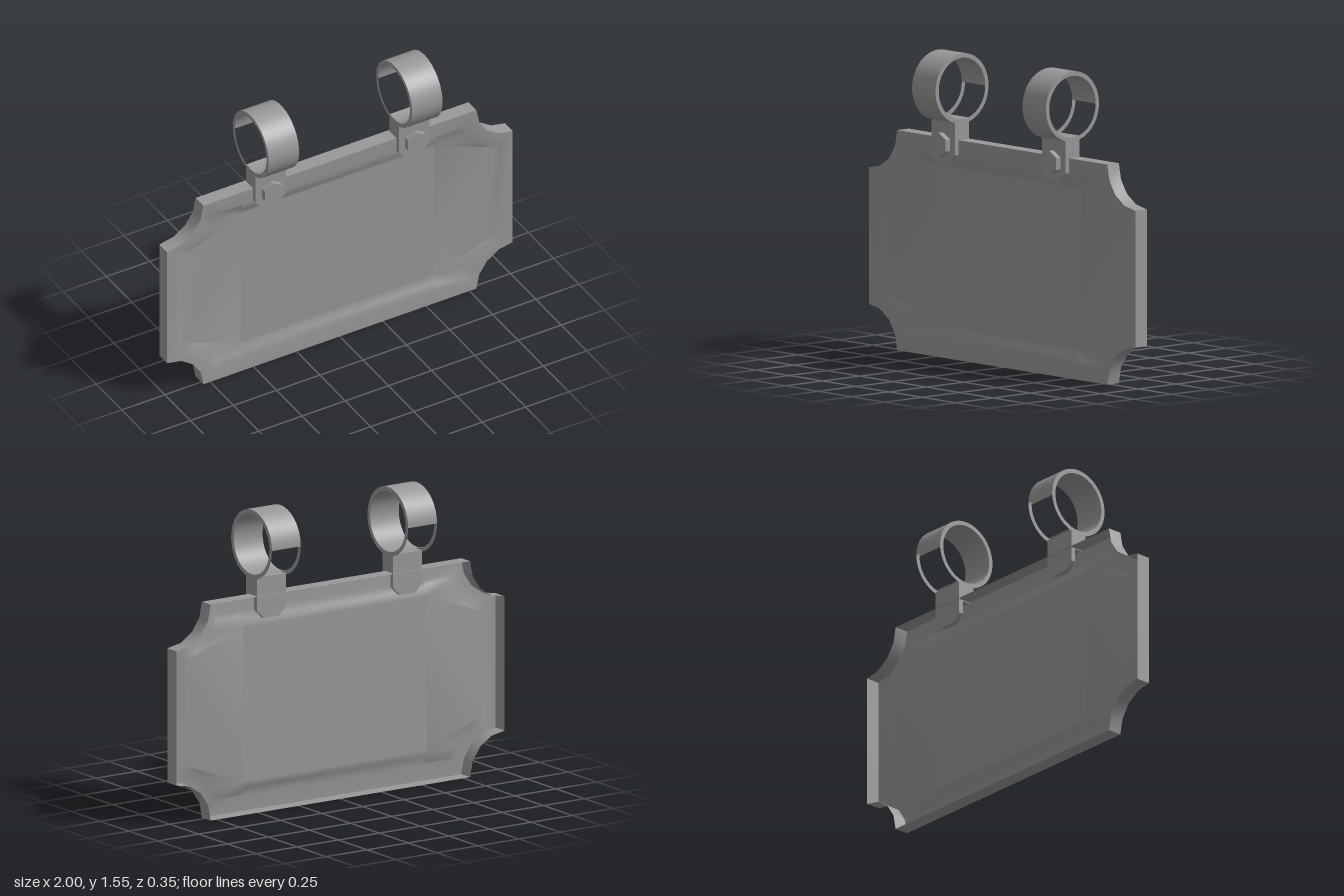
import * as THREE from 'three';
import { mergeVertices, toCreasedNormals } from 'three/addons/utils/BufferGeometryUtils.js';

const MID = 0.555; // half height of the plate
const mat = new THREE.MeshStandardMaterial({ color: 0x999999, side: THREE.DoubleSide });
const flatMat = mat.clone();
flatMat.flatShading = true;

function add(parent, name, geometry, material = flatMat) {
  const mesh = new THREE.Mesh(geometry, material);
  mesh.name = name;
  parent.add(mesh);
  return mesh;
}

// Mirror one quarter of an outline (from top middle to right middle) clockwise around the plate
function mirrorQuarter(quarter) {
  const points = [];
  for (const [sx, sy] of [[1, 1], [1, -1], [-1, -1], [-1, 1]]) {
    const q = sx * sy > 0 ? quarter : [...quarter].reverse();
    for (const [x, y, z] of q) points.push([sx * x, MID + sy * y, z]);
  }
  return points;
}

// Outline with scooped corners: r = scoop radius, X / Y = half extents.
// The middle point of the long edge may be given its own height and depth.
function outline(r, X, Y, z, middle = [0.56, Y, z]) {
  const a0 = Math.asin((MID - Y) / r), a1 = Math.acos((1 - X) / r);
  const quarter = [middle, [0.56, Y, z]];
  for (let i = 0; i <= 4; i++) {
    const a = a0 + (a1 - a0) * i / 4;
    quarter.push([1 - r * Math.cos(a), MID - r * Math.sin(a), z]);
  }
  return mirrorQuarter(quarter);
}

// Skin between successive outlines
function skin(rings) {
  const n = rings[0].length, index = [];
  for (let k = 0; k < rings.length - 1; k++) {
    for (let i = 0; i < n; i++) {
      const a = k * n + i, b = k * n + (i + 1) % n;
      index.push(a, b + n, b, a, a + n, b + n);
    }
  }
  const g = new THREE.BufferGeometry();
  g.setAttribute('position', new THREE.Float32BufferAttribute(rings.flat(2), 3));
  g.setIndex(index);
  const merged = mergeVertices(g, 1e-5);
  merged.computeVertexNormals();
  return merged;
}

function makePlate() {
  const plate = new THREE.Group();
  plate.name = 'signPlate';
  const floorZ = -0.006;
  const back = outline(0.21, 1, MID, -0.055);
  const front = outline(0.21, 1, MID, 0.022);
  const lip = outline(0.28, 0.92, 0.475, 0.02);
  // steep at the ends, a longer rounded slope along the middle of the long edges
  const step = outline(0.305, 0.895, 0.455, 0.003, [0.56, 0.436, 0.014]);
  const floor = mirrorQuarter(Array(7).fill([0.56, 0.4, floorZ]));
  add(plate, 'edgeWall', toCreasedNormals(skin([back, front]), 0.6), mat);
  add(plate, 'rimAndRecess', skin([front, lip, step, floor]), mat);
  add(plate, 'panel', new THREE.PlaneGeometry(1.12, 0.8).translate(0, MID, floorZ), mat);
  return plate;
}

function makeClamp(x) {
  const clamp = new THREE.Group();
  clamp.name = x > 0 ? 'leftClamp' : 'rightClamp';
  clamp.position.x = x;
  const w = 0.176, R = 0.177, r = 0.155, cy = 1.369;

  // Pole band, open at the lower back quarter
  const gap = Math.asin(0.047 / R);
  for (const [name, radius] of [['bandOuter', R], ['bandInner', r]]) {
    const g = new THREE.CylinderGeometry(radius, radius, w, 40, 1, true, -Math.PI / 2 - gap, Math.PI * 1.5 + gap);
    add(clamp, name, g.rotateZ(Math.PI / 2).translate(0, cy, 0), mat);
  }
  for (const s of [-1, 1]) {
    add(clamp, 'bandEdge', new THREE.RingGeometry(r, R, 48).rotateY(s * Math.PI / 2).translate(s * w / 2, cy, 0));
  }

  // Neck and the two chamfered tabs gripping the plate
  add(clamp, 'neck', new THREE.BoxGeometry(w, 0.1, 0.095).translate(0, 1.155, 0));
  const h = w / 2, c = 0.042, bottom = 0.993;
  const tab = new THREE.Shape([[-h, 1.11], [-h, bottom + c], [-h + c, bottom], [h - c, bottom], [h, bottom + c], [h, 1.11]]
    .map(([px, py]) => new THREE.Vector2(px, py)));
  for (const [name, z] of [['frontTab', 0.023], ['backTab', -0.0475]]) {
    add(clamp, name, new THREE.ExtrudeGeometry(tab, { depth: 0.0245, bevelEnabled: false }).translate(0, 0, z));
  }

  // Hexagonal bolt head
  add(clamp, 'bolt', new THREE.CylinderGeometry(0.06, 0.06, 0.03, 6).rotateX(Math.PI / 2).translate(0, 1.083, 0.062));
  return clamp;
}

export function createModel() {
  const model = new THREE.Group();
  model.name = 'hangingSign';
  model.add(makePlate(), makeClamp(-0.415), makeClamp(0.415));
  return model;
}
